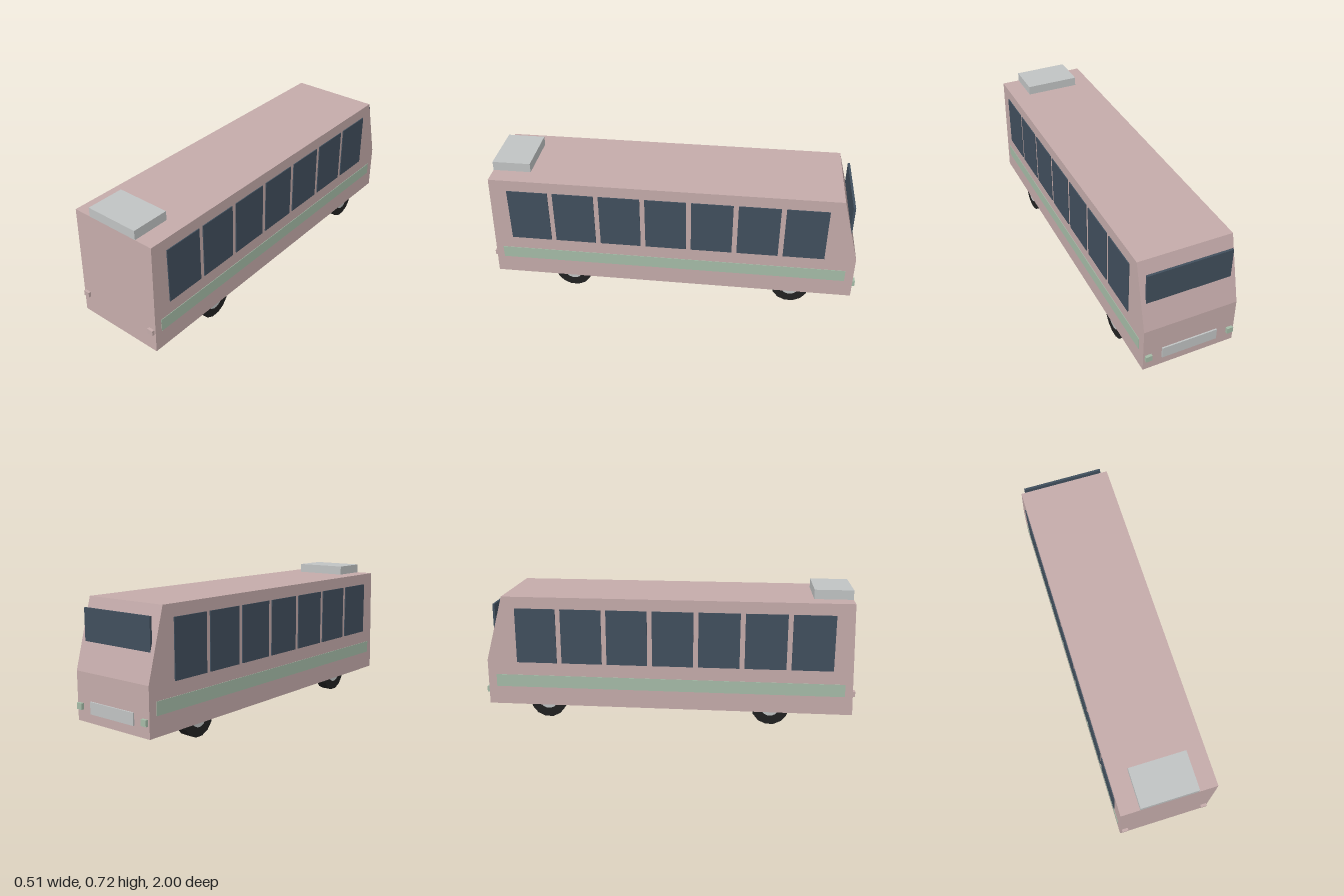
import * as THREE from 'three';

const mat = (name, color) => {
  const m = new THREE.MeshStandardMaterial({ color });
  m.name = name;
  return m;
};

export function createModel() {
  const bus = new THREE.Group();
  bus.name = 'bus';
  const paint = mat('dustyPinkPaint', 0xc4abaa);
  const glass = mat('darkBlueGlass', 0x414f5d);
  const green = mat('paleGreen', 0xa5bba7);
  const silver = mat('silverGrey', 0xc0c3c3);
  const rubber = mat('blackRubber', 0x212121);
  rubber.flatShading = true;

  const add = (name, geometry, material, x = 0, y = 0, z = 0) => {
    const mesh = new THREE.Mesh(geometry, material);
    mesh.name = name;
    mesh.position.set(x, y, z);
    bus.add(mesh);
    return mesh;
  };
  // Box given by its lower and upper corners
  const box = (name, material, [x0, y0, z0], [x1, y1, z1]) =>
    add(name, new THREE.BoxGeometry(x1 - x0, y1 - y0, z1 - z0), material,
      (x0 + x1) / 2, (y0 + y1) / 2, (z0 + z1) / 2);

  // Body: side profile extruded across the width, driving end towards -z
  const profile = new THREE.Shape([
    [-0.99, 0.07], [0.985, 0.07], [0.985, 0.32], [0.888, 0.675], [-0.972, 0.675],
  ].map(([a, b]) => new THREE.Vector2(a, b)));
  const bodyGeometry = new THREE.ExtrudeGeometry(profile, { depth: 0.5, bevelEnabled: false });
  bodyGeometry.translate(0, 0, -0.25).rotateY(Math.PI / 2);
  add('body', bodyGeometry, paint);

  // Roof air conditioner
  box('roofUnit', silver, [-0.15, 0.665, 0.768], [0.15, 0.725, 0.972]);

  // Upright windscreen, its lower part sunk in the sloping nose
  box('windscreen', glass, [-0.225, 0.4, -0.946], [0.225, 0.627, -0.934]);

  // Nose panel
  box('grille', silver, [-0.15, 0.118, -0.993], [0.15, 0.18, -0.98]);

  for (const s of [-1, 1]) {
    // Seven side windows
    for (let i = 0; i < 7; i++) {
      add('sideWindow', new THREE.BoxGeometry(0.009, 0.3, 0.22), glass,
        s * 0.2505, 0.462, 0.77 - i * 0.2465);
    }
    // Side stripe
    add('sideStripe', new THREE.BoxGeometry(0.008, 0.068, 1.885), green, s * 0.2485, 0.205, 0.003);

    // Lamps at both ends
    add('headlight', new THREE.BoxGeometry(0.034, 0.032, 0.02), green, s * 0.224, 0.147, -0.99);
    add('tailLight', new THREE.BoxGeometry(0.034, 0.028, 0.016), paint, s * 0.224, 0.184, 0.992);

    // Wheels with hubs
    for (const z of [0.555, -0.655]) {
      add('tyre', new THREE.CylinderGeometry(0.1, 0.1, 0.06, 14), rubber, s * 0.217, 0.1, z)
        .rotation.z = Math.PI / 2;
      add('hub', new THREE.CylinderGeometry(0.05, 0.05, 0.016, 14), silver, s * 0.2415, 0.1, z)
        .rotation.z = Math.PI / 2;
    }
  }
  return bus;
}
